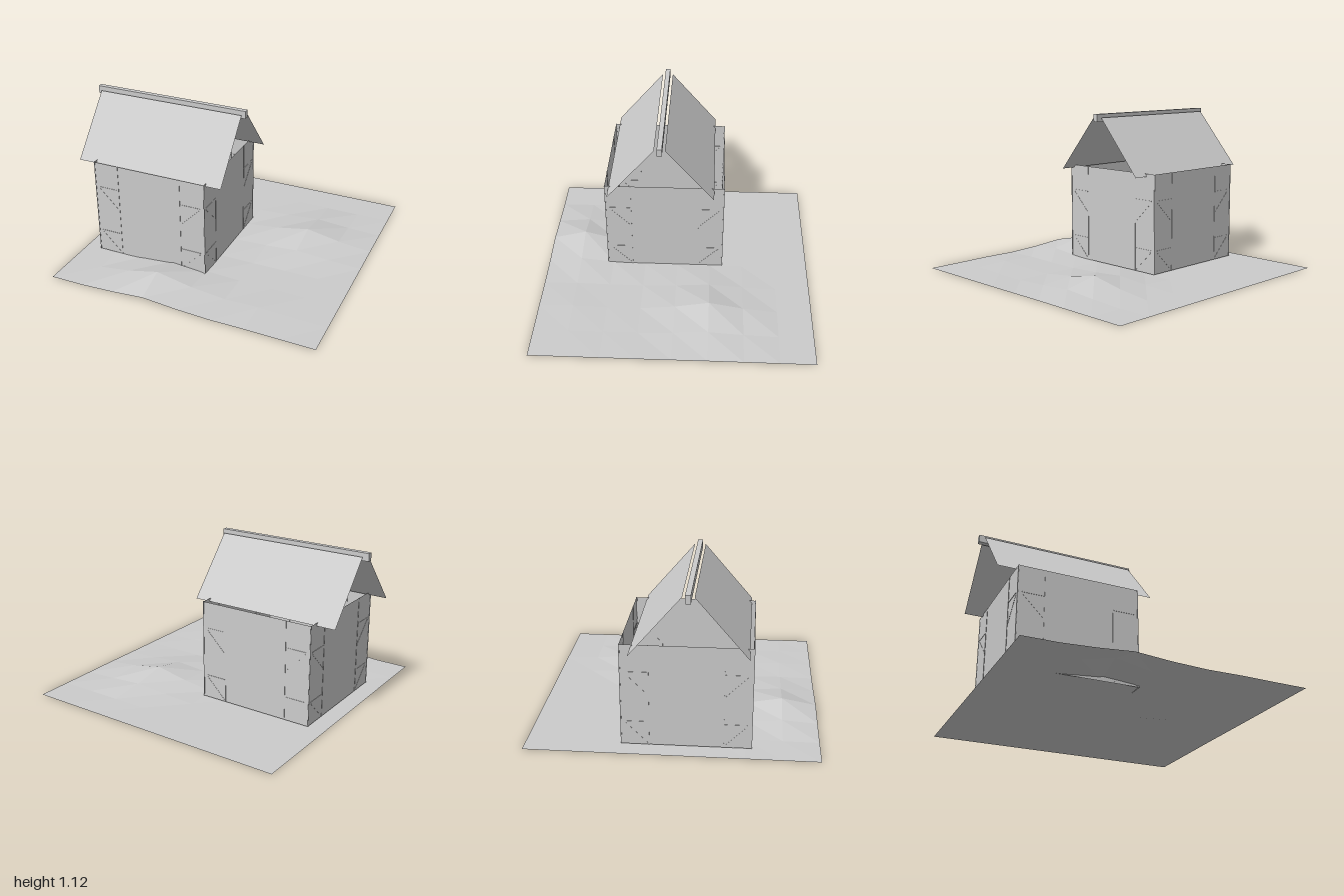
import * as THREE from 'three';

const mat = new THREE.MeshStandardMaterial({ color: 0xcccccc, flatShading: true, side: THREE.DoubleSide });

// House footprint and heights
const X0 = -0.83, X1 = 0.022, Z0 = -0.34, Z1 = 0.52, BOTTOM = 0.008, TOP = 0.72;
const CX = (X0 + X1) / 2, CZ = (Z0 + Z1) / 2, RIDGE_Z = 0.113;

function add(parent, name, geometry, x = 0, y = 0, z = 0) {
  const mesh = new THREE.Mesh(geometry, mat);
  mesh.name = name;
  mesh.position.set(x, y, z);
  parent.add(mesh);
  return mesh;
}

// Ground: coarse grid raised into soft mounds
function ground() {
  const g = new THREE.PlaneGeometry(1.95, 1.95, 8, 8).rotateX(-Math.PI / 2).translate(0.025, 0, -0.005);
  const mounds = [[-0.22, 0.726, 0.085], [0.51, -0.249, 0.075], [0.51, 0.726, 0.012]];
  const p = g.attributes.position;
  for (let i = 0; i < p.count; i++) {
    const x = p.getX(i), z = p.getZ(i);
    let h = 0;
    for (const [mx, mz, height] of mounds) {
      h += height * Math.exp(-((x - mx) ** 2 + (z - mz) ** 2) / 0.0625);
    }
    p.setY(i, h);
    // Pull the vertices near the front mound a little to the left
    p.setX(i, x - 0.3 * Math.min(h, 0.085) * (z > 0.4 && x < 0.1 ? 1 : 0));
  }
  g.computeVertexNormals();
  return g;
}

// One thin wall with posts and braces at both ends, built facing +z
function wall(name, width) {
  const group = new THREE.Group();
  group.name = name;
  const height = TOP - BOTTOM, half = width / 2, t = 0.005;
  add(group, 'wallPanel', new THREE.PlaneGeometry(width, height), 0, height / 2, 0);
  for (const s of [-1, 1]) {
    add(group, 'cornerPost', new THREE.BoxGeometry(t, height, t), s * (half - t / 2), height / 2, 0);
    add(group, 'innerPost', new THREE.BoxGeometry(t, height, t), s * (half - 0.185), height / 2, 0);
    for (const y of [0.167, 0.522]) {
      add(group, 'rail', new THREE.BoxGeometry(0.15, t, t), s * (half - 0.105), y, 0);
      const brace = add(group, 'diagonalBrace', new THREE.BoxGeometry(0.2, t, 0.003),
        s * (half - 0.105), y - 0.085, 0);
      brace.rotation.z = s * Math.PI / 4;
    }
  }
  return group;
}

// Thin roof slope, s = 1 for the front and -1 for the back
function roofSlope(s) {
  const g = new THREE.PlaneGeometry(1.1, 1);
  const p = g.attributes.position;
  for (let i = 0; i < p.count; i++) {
    const upper = p.getY(i) > 0;
    p.setXYZ(i, s * p.getX(i), upper ? 1.1 : 0.7, RIDGE_Z + s * (upper ? 0.038 : 0.38));
  }
  g.computeVertexNormals();
  return g;
}

export function createModel() {
  const model = new THREE.Group();
  model.name = 'houseOnGround';
  add(model, 'ground', ground());

  // Four walls, open at the top
  const walls = [
    ['frontWall', X1 - X0, CX, Z1, 0],
    ['backWall', X1 - X0, CX, Z0, Math.PI],
    ['leftWall', Z1 - Z0, X1, CZ, Math.PI / 2],
    ['rightWall', Z1 - Z0, X0, CZ, -Math.PI / 2],
  ];
  for (const [name, width, x, z, turn] of walls) {
    const w = wall(name, width);
    w.position.set(x, BOTTOM, z);
    w.rotation.y = turn;
    model.add(w);
  }

  // Roof slopes and ridge beam
  add(model, 'frontRoof', roofSlope(1), -0.415);
  add(model, 'backRoof', roofSlope(-1), -0.415);
  add(model, 'ridgeBeam', new THREE.BoxGeometry(1.155, 0.055, 0.035), -0.4225, 1.0975, RIDGE_Z);
  return model;
}
